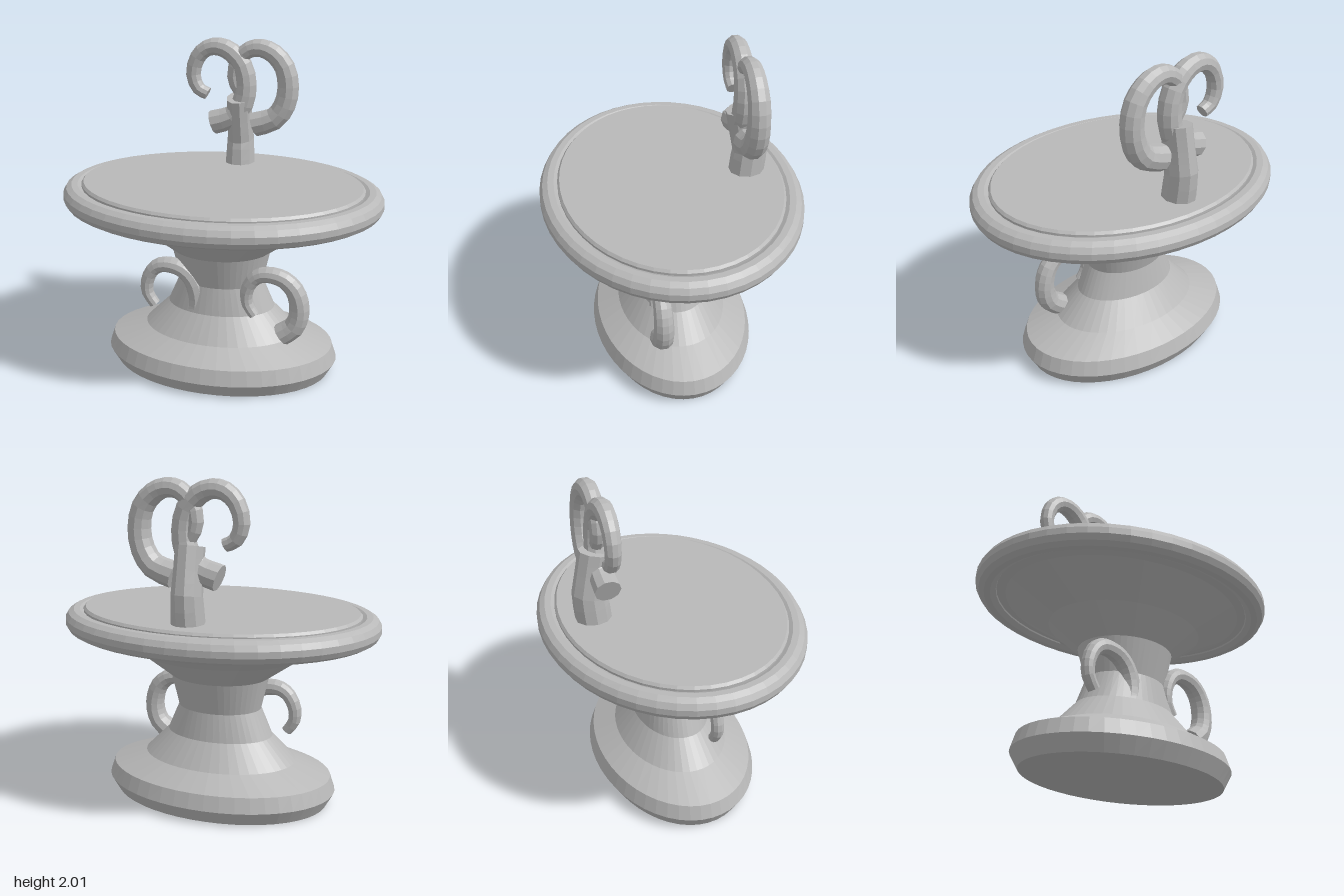
import * as THREE from 'three';

const stone = new THREE.MeshStandardMaterial({ color: 0xb8b8b8, flatShading: true });
stone.name = 'stone';

// Skin a list of rings (arrays of Vector3), with flat end caps unless the loop is closed
function skin(name, rings, closed = false) {
  const n = rings[0].length, pos = [], idx = [];
  rings.forEach(r => r.forEach(p => pos.push(p.x, p.y, p.z)));
  const last = closed ? rings.length : rings.length - 1;
  for (let i = 0; i < last; i++) {
    const i2 = (i + 1) % rings.length;
    for (let j = 0; j < n; j++) {
      const k = (j + 1) % n;
      const a = i * n + j, b = i2 * n + j, c = i2 * n + k, d = i * n + k;
      idx.push(a, b, d, b, c, d);
    }
  }
  if (!closed) {
    [0, rings.length - 1].forEach((i, end) => {
      const c = new THREE.Vector3();
      rings[i].forEach(p => c.addScaledVector(p, 1 / n));
      const ci = pos.length / 3;
      pos.push(c.x, c.y, c.z);
      for (let j = 0; j < n; j++) {
        const a = i * n + j, b = i * n + (j + 1) % n;
        if (end) idx.push(ci, b, a); else idx.push(ci, a, b);
      }
    });
  }
  const indexed = new THREE.BufferGeometry();
  indexed.setAttribute('position', new THREE.Float32BufferAttribute(pos, 3));
  indexed.setIndex(idx);
  const geo = indexed.toNonIndexed();
  geo.computeVertexNormals();
  const mesh = new THREE.Mesh(geo, stone);
  mesh.name = name;
  return mesh;
}

// Horizontal ellipse ring
function ellipse(y, rx, rz, n = 48) {
  return Array.from({ length: n }, (_, j) => {
    const a = j / n * Math.PI * 2;
    return new THREE.Vector3(rx * Math.cos(a), y, rz * Math.sin(a));
  });
}

// Rings along a curve; ru and rv give the radii along side and across it
function sweep(curve, steps, n, side, ru, rv) {
  return Array.from({ length: steps + 1 }, (_, i) => {
    const t = i / steps, p = curve.getPoint(t), T = curve.getTangent(t);
    const V = side.clone().cross(T).normalize();
    return Array.from({ length: n }, (_, j) => {
      const a = j / n * Math.PI * 2;
      return p.clone().addScaledVector(side, ru(t) * Math.cos(a)).addScaledVector(V, rv(t) * Math.sin(a));
    });
  });
}

// Tapered spiral tube lying in a plane of constant z
function curl(name, points, dx, z, r0, r1) {
  const curve = new THREE.CatmullRomCurve3(points.map(([x, y]) => new THREE.Vector3(x + dx, y, z)));
  const r = t => r0 + (r1 - r0) * t;
  return skin(name, sweep(curve, 22, 10, new THREE.Vector3(0, 0, 1), r, r));
}

export function createModel() {
  const model = new THREE.Group();
  model.name = 'fountain';

  // Oval foot, waisted column and flared bowl: y, half width, half depth
  const foot = [[0, 0.69, 0.46], [0.09, 0.74, 0.51], [0.18, 0.71, 0.48], [0.26, 0.49, 0.34],
    [0.41, 0.34, 0.23], [0.58, 0.265, 0.2]];
  const bowl = [[0.58, 0.265, 0.2], [0.78, 0.31, 0.255], [0.92, 0.51, 0.4], [1.065, 0.8, 0.615],
    [1.08, 0.87, 0.675], [1.19, 0.87, 0.675], [1.205, 0.857, 0.662]];
  model.add(skin('foot', foot.map(r => ellipse(...r))));
  model.add(skin('bowl', bowl.map(r => ellipse(...r))));

  // Rounded rim around the bowl
  const rim = Array.from({ length: 12 }, (_, i) => {
    const a = (i + 0.5) / 12 * Math.PI * 2;
    const c = 0.072 * Math.cos(a), s = 0.072 * Math.sin(a);
    return ellipse(1.12 + s, 0.913 + c, 0.715 + c);
  });
  model.add(skin('rim', rim, true));

  // Bent spout post at the back of the bowl
  const post = new THREE.CurvePath();
  const bend = [[1.02, -0.455], [1.36, -0.488], [1.635, -0.434]].map(([y, z]) => new THREE.Vector3(0, y, z));
  post.add(new THREE.LineCurve3(bend[0], bend[1]));
  post.add(new THREE.LineCurve3(bend[1], bend[2]));
  const widths = t => 0.106 - 0.026 * Math.min(1, t / 0.8);
  model.add(skin('post', sweep(post, 9, 10, new THREE.Vector3(1, 0, 0), widths, () => 0.108)));

  // Pair of curls on the post, thin tip first
  const top = [[-0.205, 1.65], [-0.265, 1.68], [-0.3, 1.77], [-0.27, 1.88], [-0.205, 1.94], [-0.13, 1.952],
    [-0.05, 1.92], [0.02, 1.84], [0.046, 1.72], [0.025, 1.6], [-0.04, 1.51], [-0.17, 1.465]];
  model.add(curl('rightTopCurl', top, 0, -0.426, 0.04, 0.078));
  model.add(curl('leftTopCurl', top, 0.27, -0.43, 0.04, 0.078));

  // Pair of scroll handles on the column
  const low = [[0.245, 0.41], [0.2, 0.48], [0.198, 0.56], [0.235, 0.64], [0.29, 0.68], [0.36, 0.685],
    [0.43, 0.665], [0.49, 0.61], [0.522, 0.53], [0.525, 0.44], [0.495, 0.36], [0.42, 0.3]];
  model.add(curl('leftHandle', low, 0, 0.148, 0.035, 0.07));
  model.add(curl('rightHandle', low, -0.64, 0.148, 0.035, 0.07));

  return model;
}
